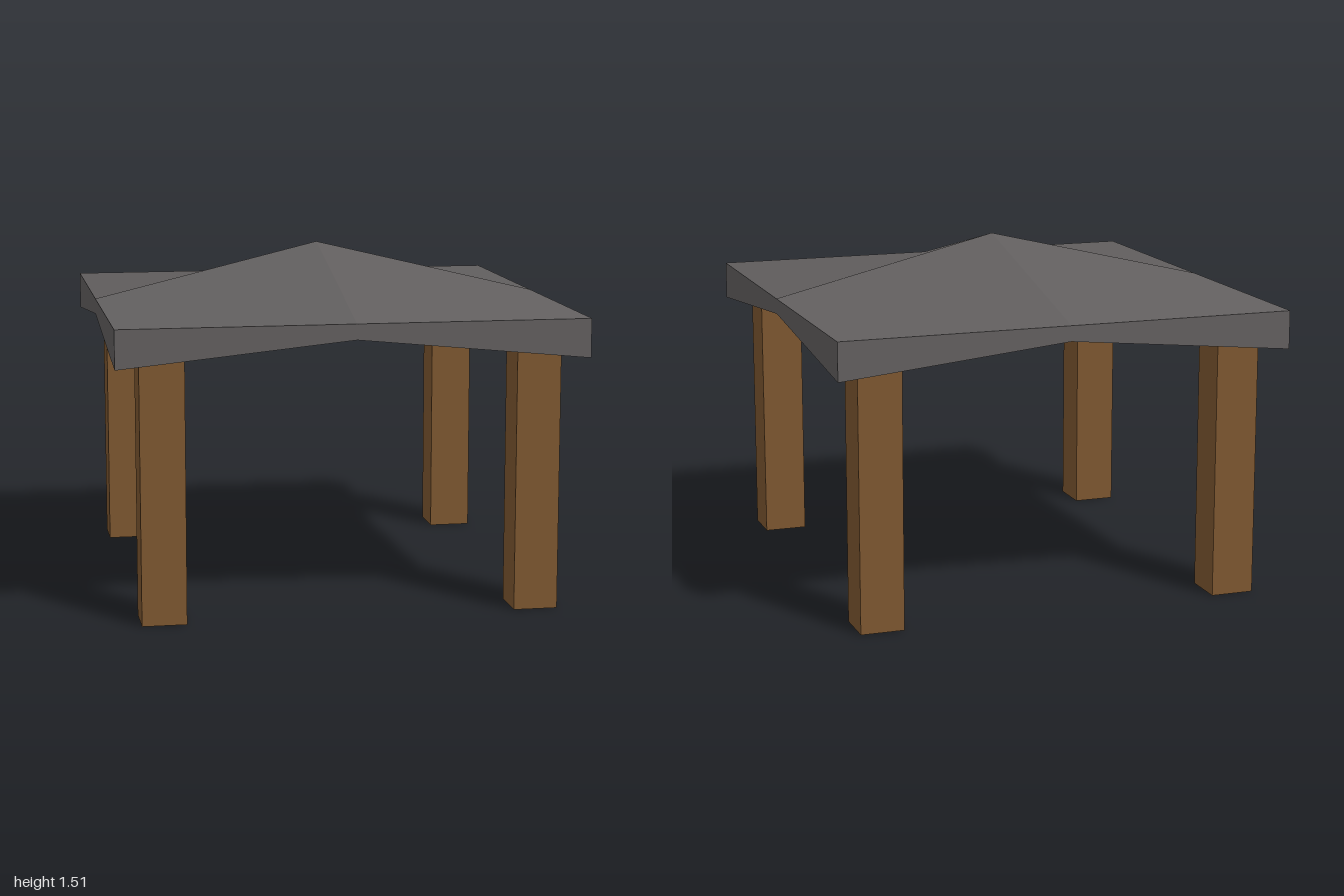
import * as THREE from 'three';

const HX = 1, HZ = 0.995; // half sizes of the roof

// Four-cornered panels; each panel is split along b-d and shares one averaged normal.
function panelGeometry(panels) {
  const positions = [], normals = [];
  for (const [a, b, c, d] of panels) {
    const n = c.clone().sub(a).cross(d.clone().sub(b)).normalize();
    for (const p of [a, b, d, b, c, d]) {
      positions.push(p.x, p.y, p.z);
      normals.push(n.x, n.y, n.z);
    }
  }
  const g = new THREE.BufferGeometry();
  g.setAttribute('position', new THREE.Float32BufferAttribute(positions, 3));
  g.setAttribute('normal', new THREE.Float32BufferAttribute(normals, 3));
  return g;
}

function createRoof(material) {
  // Rim points run corner, edge middle, corner ... counter-clockwise seen from above
  const ring = [[1, 1], [1, 0], [1, -1], [0, -1], [-1, -1], [-1, 0], [-1, 1], [0, 1]];
  const top = ring.map(([x, z]) => new THREE.Vector3(x * HX, 1.267, z * HZ));
  const bottom = ring.map(([x, z], i) => new THREE.Vector3(x * HX, i % 2 ? 1.2 : 1.1, z * HZ));
  const apex = new THREE.Vector3(0, 1.507, 0);
  const innerApex = new THREE.Vector3(0, 1.28, 0);
  const panels = [];
  for (let i = 0; i < 8; i++) {
    const next = (i + 1) % 8, prev = (i + 7) % 8;
    panels.push([bottom[i], bottom[next], top[next], top[i]]); // rim
    if (i % 2 === 0) {
      panels.push([top[i], top[next], apex, top[prev]]); // upper quarter
      panels.push([bottom[i], bottom[prev], innerApex, bottom[next]]); // lower quarter
    }
  }
  const roof = new THREE.Mesh(panelGeometry(panels), material);
  roof.name = 'roof';
  return roof;
}

export function createModel() {
  const model = new THREE.Group();
  model.name = 'shelter';
  const slate = new THREE.MeshStandardMaterial({ color: 0x625f5f });
  const wood = new THREE.MeshStandardMaterial({ color: 0x7d5730 });

  model.add(createRoof(slate));

  // Square posts, running up into the roof
  const postHeight = 1.18;
  const postGeometry = new THREE.BoxGeometry(0.19, postHeight, 0.19);
  for (const [sx, xName] of [[1, 'Left'], [-1, 'Right']]) {
    for (const [sz, zName] of [[1, 'front'], [-1, 'back']]) {
      const post = new THREE.Mesh(postGeometry, wood);
      post.name = `${zName}${xName}Post`;
      post.position.set(sx * 0.8, postHeight / 2, sz * 0.815);
      model.add(post);
    }
  }
  return model;
}
